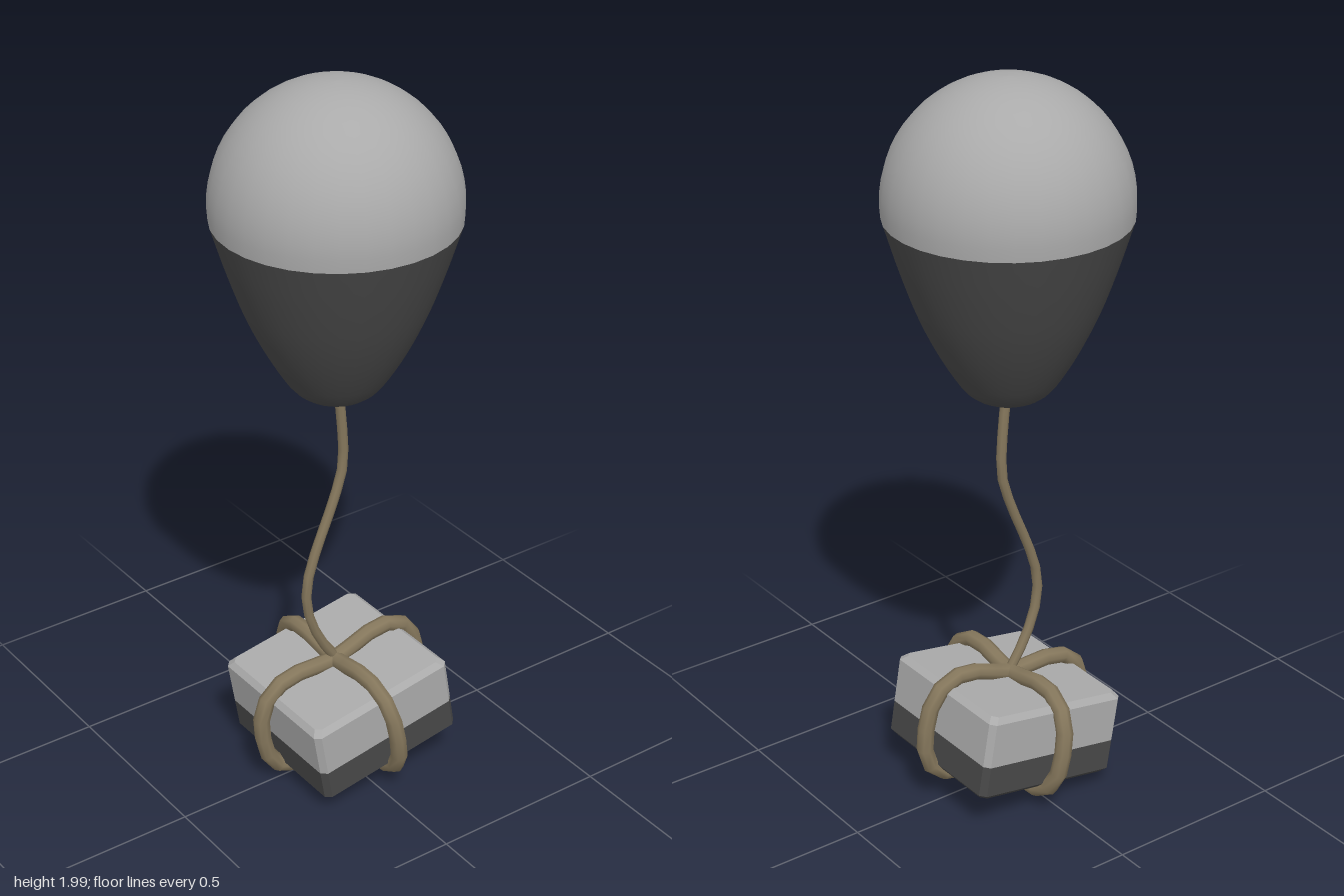
import * as THREE from 'three';

const lightGrey = new THREE.MeshStandardMaterial({ color: 0xaaaaaa });
lightGrey.name = 'light grey';
const darkGrey = new THREE.MeshStandardMaterial({ color: 0x484848 });
darkGrey.name = 'dark grey';
const ropeBrown = new THREE.MeshStandardMaterial({ color: 0x85775c });
ropeBrown.name = 'rope brown';

const v2 = ([x, y]) => new THREE.Vector2(x, y);

function addMesh(parent, name, geometry, material) {
  const mesh = new THREE.Mesh(geometry, material);
  mesh.name = name;
  parent.add(mesh);
  return mesh;
}

// Stack of square rings with cut corners; each ring is [height, half width], bottom first
function stackRings(rings, cut) {
  const positions = [];
  const corners = (y, h) => {
    const k = h - Math.min(cut, h);
    return [[h, -k], [h, k], [k, h], [-k, h], [-h, k], [-h, -k], [-k, -h], [k, -h]]
      .map(([x, z]) => [x, y, z]);
  };
  for (let r = 0; r < rings.length - 1; r++) {
    const low = corners(...rings[r]);
    const high = corners(...rings[r + 1]);
    for (let i = 0; i < 8; i++) {
      const j = (i + 1) % 8;
      if (rings[r + 1][1] > 0) positions.push(...low[i], ...high[i], ...high[j]);
      if (rings[r][1] > 0) positions.push(...low[i], ...high[j], ...low[j]);
    }
  }
  const geometry = new THREE.BufferGeometry();
  geometry.setAttribute('position', new THREE.Float32BufferAttribute(positions, 3));
  geometry.computeVertexNormals();
  return geometry;
}

export function createModel() {
  const model = new THREE.Group();
  model.name = 'balloonWithParcel';

  // Balloon: tapering dark lower part and a round light cap
  const balloon = new THREE.Group();
  balloon.name = 'balloon';
  model.add(balloon);
  const taper = new THREE.SplineCurve([
    [0, 1.135], [0.06, 1.142], [0.11, 1.17], [0.15, 1.225], [0.195, 1.305],
    [0.238, 1.4], [0.277, 1.51], [0.302, 1.59], [0.317, 1.64],
  ].map(v2)).getPoints(20);
  taper[0].x = 0;
  addMesh(balloon, 'balloonBottom', new THREE.LatheGeometry(taper, 32), darkGrey);

  const cap = [];
  const start = Math.asin(-0.04 / 0.32);
  for (let i = 0; i <= 16; i++) {
    const a = start + (Math.PI / 2 - start) * i / 16;
    cap.push(new THREE.Vector2(i === 16 ? 0 : 0.32 * Math.cos(a), 1.68 + 0.32 * Math.sin(a)));
  }
  addMesh(balloon, 'balloonTop', new THREE.LatheGeometry(cap, 32), lightGrey);

  // Wavy string from the balloon to the parcel
  const stringPath = new THREE.CatmullRomCurve3([
    [0.005, 1.16], [0.018, 1.05], [0.02, 0.92], [-0.02, 0.8], [-0.07, 0.68],
    [-0.097, 0.58], [-0.088, 0.49], [-0.05, 0.4], [-0.005, 0.33],
  ].map(([x, y]) => new THREE.Vector3(x, y, 0)));
  addMesh(model, 'string', new THREE.TubeGeometry(stringPath, 14, 0.0135, 8), ropeBrown);

  // Tilted parcel with cut edges
  const parcel = new THREE.Group();
  parcel.name = 'parcel';
  parcel.position.set(0.015, 0.2, 0);
  parcel.rotation.z = 0.165;
  model.add(parcel);
  const half = 0.22, top = 0.12, split = -0.02, cut = 0.015;
  addMesh(parcel, 'parcelBottom', stackRings(
    [[-top, 0], [-top, half - cut], [-top + cut, half], [split, half]], cut), darkGrey);
  addMesh(parcel, 'parcelTop', stackRings(
    [[split, half], [top - cut, half], [top, half - cut], [top, 0]], cut), lightGrey);

  // Two crossing rope loops, pinched where they meet above and below
  const quarter = [[0.12, 0.146], [0.2, 0.136], [0.248, 0.085]];
  const loop = [
    [0, 0.124], ...quarter, [0.262, 0],
    ...quarter.map(([x, y]) => [x, -y]).reverse(), [0, -0.128],
    ...quarter.map(([x, y]) => [-x, -y]), [-0.262, 0],
    ...quarter.map(([x, y]) => [-x, y]).reverse(),
  ].map(([x, y]) => new THREE.Vector3(x, y, 0));
  const loopPath = new THREE.CatmullRomCurve3(loop, true);
  const loopGeometry = new THREE.TubeGeometry(loopPath, 24, 0.023, 8, true);
  addMesh(parcel, 'ropeLoopAcross', loopGeometry, ropeBrown);
  addMesh(parcel, 'ropeLoopFrontToBack', loopGeometry, ropeBrown).rotation.y = Math.PI / 2;

  return model;
}
